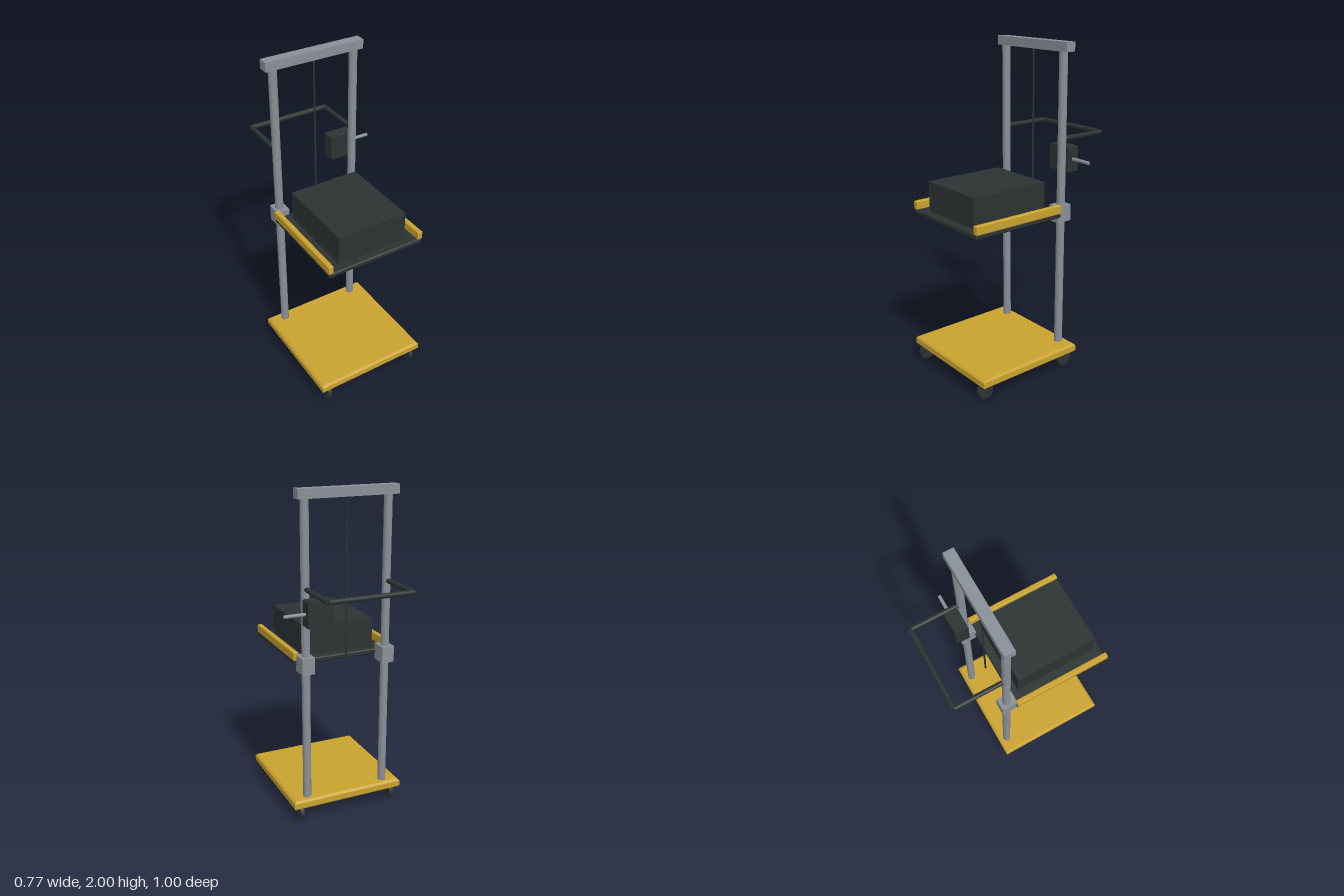
import * as THREE from 'three';

const paint = (name, color) => {
  const m = new THREE.MeshStandardMaterial({ color });
  m.name = name;
  return m;
};

export function createModel() {
  const group = new THREE.Group();
  const yellow = paint('yellow paint', 0xc9a22e);
  const steel = paint('grey steel', 0x8a9098);
  const dark = paint('dark rubber', 0x2c3333);
  const midX = -0.027; // mast centre line
  const mastZ = -0.17;

  const add = (name, geometry, material, x, y, z) => {
    const mesh = new THREE.Mesh(geometry, material);
    mesh.name = name;
    mesh.position.set(x, y, z);
    group.add(mesh);
    return mesh;
  };

  // Box given by its minimum and maximum corners
  const box = (name, mat, [x0, y0, z0], [x1, y1, z1]) =>
    add(name, new THREE.BoxGeometry(x1 - x0, y1 - y0, z1 - z0), mat,
      (x0 + x1) / 2, (y0 + y1) / 2, (z0 + z1) / 2);

  // Box with chamfered edges, b is the chamfer size
  const chamferBox = (name, mat, [x0, y0, z0], [x1, y1, z1], b) => {
    const w = (x1 - x0) / 2 - b, d = (z1 - z0) / 2 - b;
    const shape = new THREE.Shape([[-w, -d], [w, -d], [w, d], [-w, d]]
      .map(([x, y]) => new THREE.Vector2(x, y)));
    const g = new THREE.ExtrudeGeometry(shape, {
      depth: y1 - y0 - 2 * b, bevelThickness: b, bevelSize: b, bevelSegments: 1,
    });
    g.rotateX(-Math.PI / 2);
    return add(name, g, mat, (x0 + x1) / 2, y0 + b, (z0 + z1) / 2);
  };

  // Round bar between two points
  const bar = (name, mat, from, to, radius, sides = 16) => {
    const a = new THREE.Vector3(...from), b = new THREE.Vector3(...to);
    const mesh = add(name, new THREE.CylinderGeometry(radius, radius, a.distanceTo(b), sides),
      mat, ...a.clone().add(b).multiplyScalar(0.5));
    mesh.quaternion.setFromUnitVectors(new THREE.Vector3(0, 1, 0), b.sub(a).normalize());
    return mesh;
  };

  // Base on four wheels
  chamferBox('base', yellow, [-0.387, 0.088, -0.225], [0.333, 0.147, 0.495], 0.012);
  for (const side of [-1, 1]) {
    for (const z of [0.449, mastZ]) {
      const x = midX + side * 0.308;
      bar('wheel', dark, [x - 0.013, 0.05, z], [x + 0.013, 0.05, z], 0.05);
    }
  }

  // Mast: posts, sliding sleeves, handle arms and platform rails on each side
  for (const side of [-1, 1]) {
    const x = midX + side * 0.257;
    bar('post', steel, [x, 0.14, mastZ], [x, 1.95, mastZ], 0.025);
    box('sleeve', steel, [x - 0.039, 0.95, -0.215], [x + 0.039, 1.05, -0.116]);
    bar('handleArm', dark, [x, 1.447, mastZ], [x, 1.447, -0.485], 0.014, 12);
    const rx = midX + side * 0.299;
    chamferBox('sideRail', yellow, [rx - 0.0155, 1.012, -0.122], [rx + 0.0155, 1.066, 0.495], 0.005);
  }
  box('topBeam', steel, [-0.336, 1.945, -0.208], [0.282, 2, -0.146]);
  bar('handleGrip', dark, [-0.284, 1.447, -0.485], [0.23, 1.447, -0.485], 0.015, 12);
  bar('liftCable', dark, [midX, 1, mastZ], [midX, 1.95, mastZ], 0.006, 8);

  // Lifting platform with its load
  chamferBox('platform', dark, [-0.335, 0.985, -0.122], [0.281, 1.015, 0.495], 0.006);
  box('load', dark, [-0.248, 1.01, -0.071], [0.195, 1.197, 0.446]);

  // Winch and crank
  box('winch', dark, [0.102, 1.245, -0.276], [0.257, 1.396, -0.194]);
  bar('crank', steel, [0.25, 1.32, -0.237], [0.386, 1.32, -0.237], 0.0105, 10);

  return group;
}
